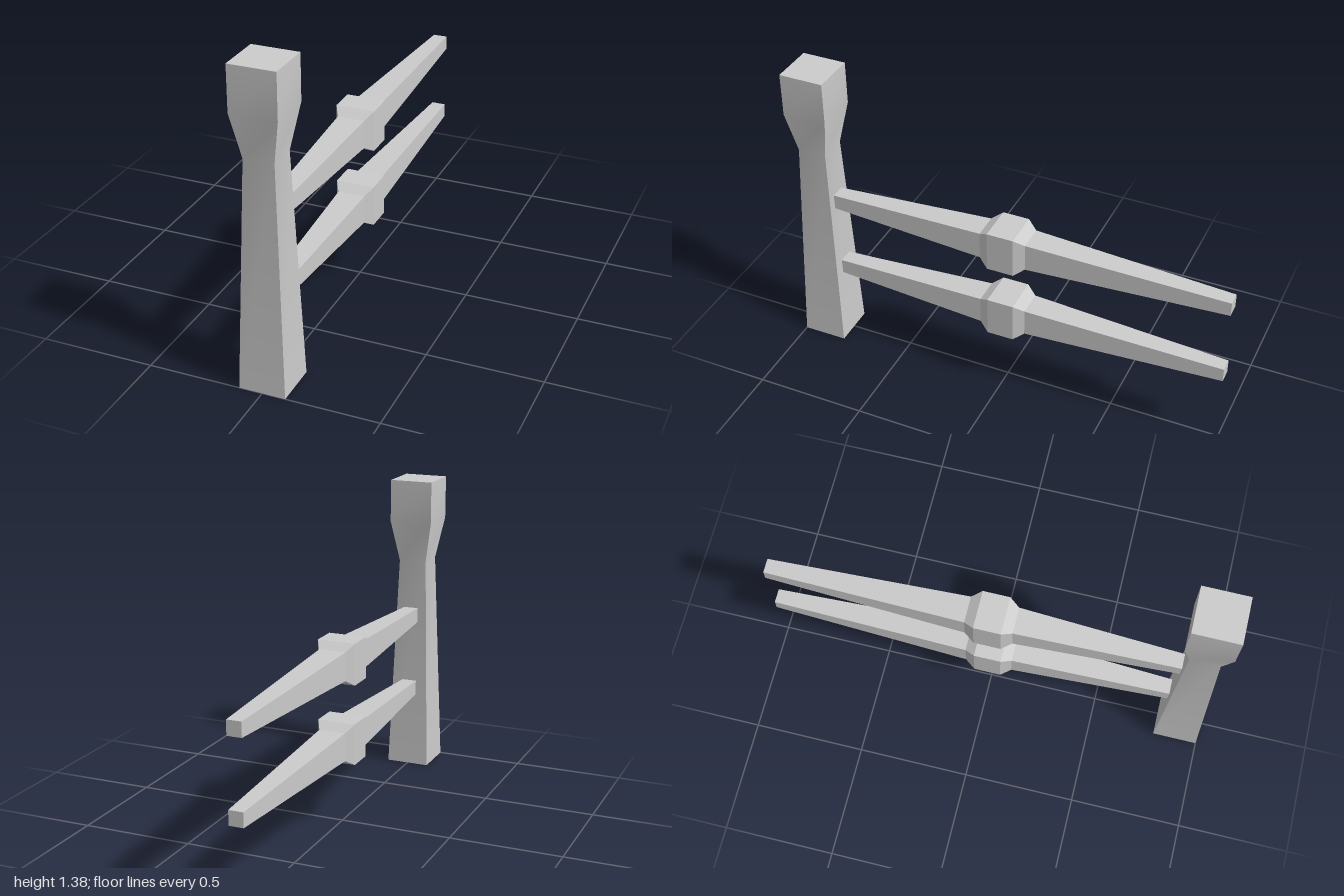
import * as THREE from 'three';
import { toCreasedNormals } from 'three/addons/utils/BufferGeometryUtils.js';

const material = new THREE.MeshStandardMaterial({ color: 0xcccccc });

// Rectangular beam along +y, lofted through rings of [y, half width x, half depth z]
function beam(rings) {
  const positions = [];
  const index = [];
  for (const [y, w, d] of rings) {
    positions.push(-w, y, d, w, y, d, w, y, -d, -w, y, -d);
  }
  for (let r = 0; r < rings.length - 1; r++) {
    for (let i = 0; i < 4; i++) {
      const a = r * 4 + i;
      const b = r * 4 + (i + 1) % 4;
      index.push(a, b, b + 4, a, b + 4, a + 4);
    }
  }
  // End caps
  const t = (rings.length - 1) * 4;
  index.push(0, 2, 1, 0, 3, 2, t, t + 1, t + 2, t, t + 2, t + 3);
  const geometry = new THREE.BufferGeometry();
  geometry.setAttribute('position', new THREE.Float32BufferAttribute(positions, 3));
  geometry.setIndex(index);
  return toCreasedNormals(geometry, 0.45);
}

export function createModel() {
  const group = new THREE.Group();

  // Square post: tapers to a neck, then flares into a block head
  const post = new THREE.Mesh(beam([
    [0, 0.1, 0.1], [1.0, 0.065, 0.065], [1.19, 0.1, 0.1], [1.385, 0.1, 0.1],
  ]), material);
  post.name = 'post';
  post.position.z = 0.9;
  group.add(post);

  // Rails: tapered towards both ends, with a chamfered collar in the middle
  const railGeometry = beam([
    [-1, 0.032, 0.032], [-0.105, 0.06, 0.063], [-0.06, 0.086, 0.092],
    [0.06, 0.086, 0.092], [0.105, 0.06, 0.063], [0.85, 0.033, 0.033],
  ]);
  railGeometry.rotateX(Math.PI / 2);
  for (const [name, y] of [['upperRail', 0.742], ['lowerRail', 0.384]]) {
    const rail = new THREE.Mesh(railGeometry, material);
    rail.name = name;
    rail.position.set(0.002, y, 0);
    group.add(rail);
  }

  return group;
}
